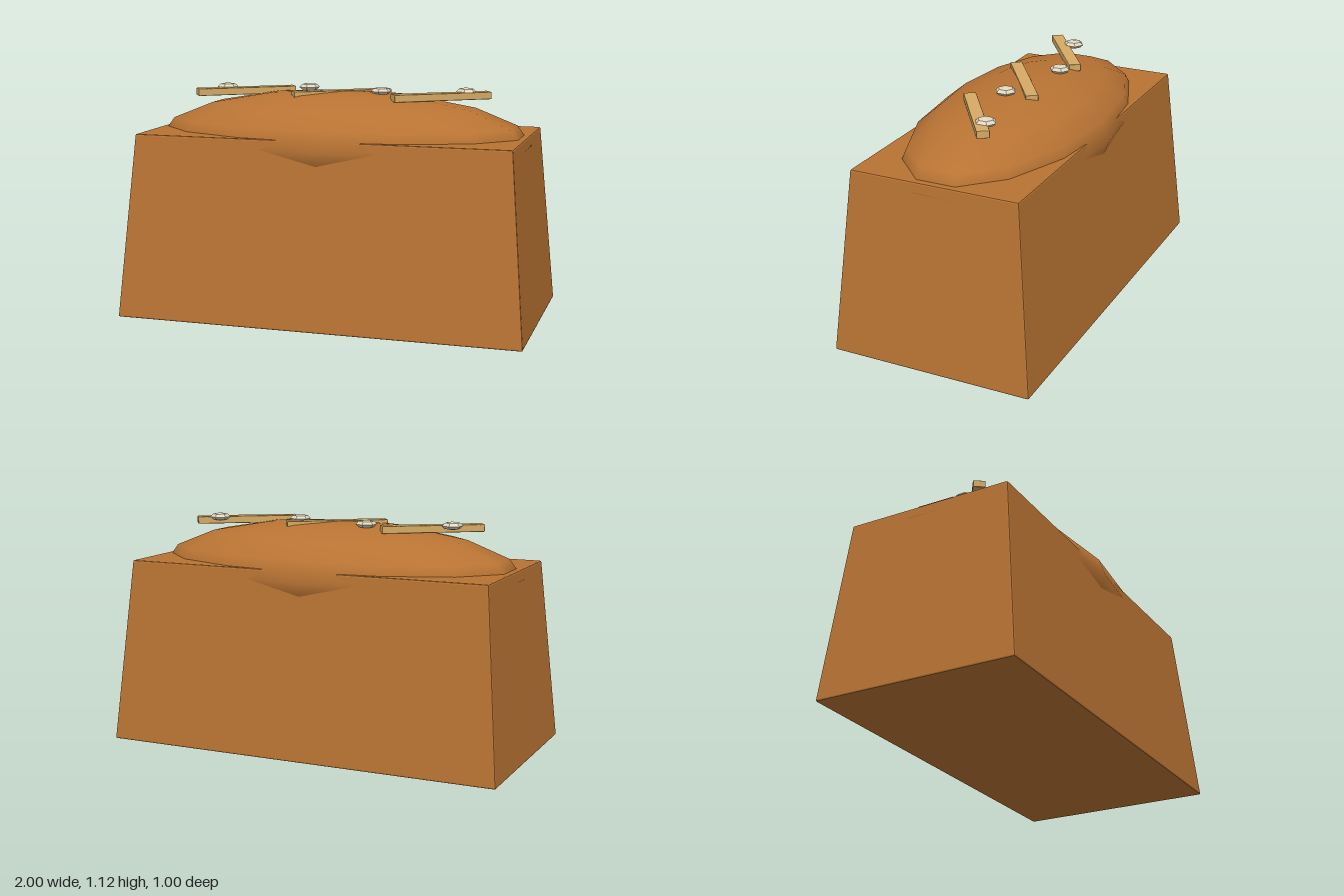
import * as THREE from 'three';
import { RoundedBoxGeometry } from 'three/addons/geometries/RoundedBoxGeometry.js';

const material = (name, color) => {
  const m = new THREE.MeshStandardMaterial({ color });
  m.name = name;
  return m;
};

// Ellipsoid with its first meridian on the z axis
function ellipsoid(rx, ry, rz, sides, rings) {
  const g = new THREE.SphereGeometry(1, sides, rings);
  g.rotateY(Math.PI / 2);
  g.scale(rx, ry, rz);
  return g;
}

export function createModel() {
  const loaf = new THREE.Group();
  loaf.name = 'breadLoaf';
  const crust = material('crust brown', 0xb87333);
  const crumb = material('score tan', 0xd6aa65);
  const seedMat = material('seed cream', 0xe2d8bf);
  seedMat.flatShading = true;

  const add = (name, geometry, mat, x, y, z) => {
    const mesh = new THREE.Mesh(geometry, mat);
    mesh.name = name;
    mesh.position.set(x, y, z);
    loaf.add(mesh);
    return mesh;
  };

  // Tapered loaf body with slightly eased edges
  const body = new RoundedBoxGeometry(2, 0.9, 1, 1, 0.008);
  body.translate(0, 0.45, 0);
  const p = body.attributes.position;
  for (let i = 0; i < p.count; i++) {
    const t = p.getY(i) / 0.9;
    p.setX(i, p.getX(i) * (1 - 0.08 * t));
    p.setZ(i, p.getZ(i) * (1 - 0.17 * t));
  }
  body.computeVertexNormals();
  add('loafBody', body, crust, 0, 0, 0);

  // Risen top, overhanging the body at the middle of both long sides
  add('domedTop', ellipsoid(0.95, 0.25, 0.45, 14, 8), crust, 0, 0.85, 0);

  // Diagonal scores
  for (const x of [-0.5, 0, 0.5]) {
    const score = add('score', new RoundedBoxGeometry(0.5, 0.036, 0.06, 1, 0.004), crumb, x, 1.083, 0);
    score.rotation.y = 0.6;
  }

  // Seeds
  for (const [x, z] of [[-0.6, 0], [-0.2, -0.1], [0.2, 0], [0.6, -0.1]]) {
    add('seed', ellipsoid(0.052, 0.02, 0.052, 6, 4), seedMat, x, 1.1, z);
  }
  return loaf;
}
